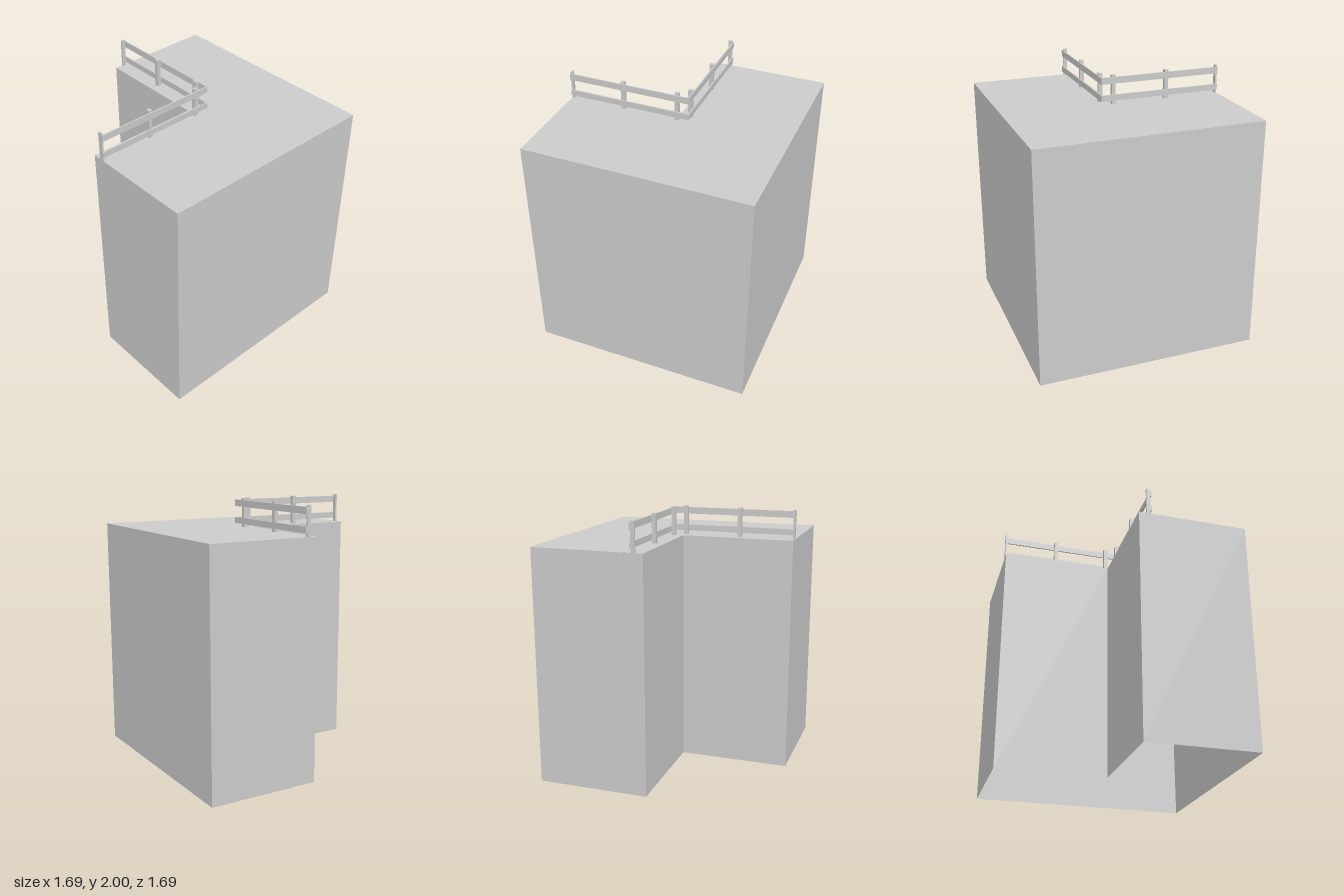
import * as THREE from 'three';

export function createModel() {
  const model = new THREE.Group();
  const material = new THREE.MeshStandardMaterial({ color: 0xcccccc, side: THREE.DoubleSide });
  const half = 0.845, height = 1.783;

  // L-shaped block: a flat top and one wall per outline edge, open underneath
  const outline = [[0, -half], [half, -half], [half, half], [-half, half], [-half, 0], [0, 0]]
    .map(([x, y]) => new THREE.Vector2(x, y));
  const block = new THREE.Group();
  block.name = 'block';
  const top = new THREE.Mesh(new THREE.ShapeGeometry(new THREE.Shape(outline)), material);
  top.name = 'blockTop';
  top.rotation.x = -Math.PI / 2;
  top.position.y = height;
  block.add(top);
  outline.forEach((a, i) => {
    const b = outline[(i + 1) % outline.length];
    const wall = new THREE.Mesh(new THREE.PlaneGeometry(a.distanceTo(b), height), material);
    wall.name = 'blockWall';
    wall.position.set((a.x + b.x) / 2, height / 2, -(a.y + b.y) / 2);
    wall.rotation.y = Math.atan2(b.y - a.y, b.x - a.x);
    block.add(wall);
  });
  model.add(block);

  // Box between two distances along a railing, two setbacks from the edge and two heights
  function addBar(group, name, alongX, [s0, s1], [d0, d1], [y0, y1]) {
    const length = s1 - s0, depth = d1 - d0, s = (s0 + s1) / 2, d = (d0 + d1) / 2;
    const size = alongX ? [length, y1 - y0, depth] : [depth, y1 - y0, length];
    const bar = new THREE.Mesh(new THREE.BoxGeometry(...size), material);
    bar.name = name;
    bar.position.set(alongX ? -s : d, (y0 + y1) / 2, alongX ? -d : s);
    group.add(bar);
  }

  // Two railings along the inner edges, meeting at the inner corner
  for (const alongX of [true, false]) {
    const railing = new THREE.Group();
    railing.name = alongX ? 'rightRailing' : 'frontRailing';
    // Posts; the last one is cut flush with the block's end
    for (const span of [[-0.015, 0.015], [0.408, 0.438], [0.831, half]])
      addBar(railing, 'post', alongX, span, [0.06, 0.09], [height, 2]);
    // Rails on the inner side of the posts
    for (const span of [[1.809, 1.854], [1.938, 1.987]])
      addBar(railing, 'rail', alongX, [alongX ? -0.1 : -0.09, half], [0.09, 0.1], span);
    model.add(railing);
  }
  return model;
}
